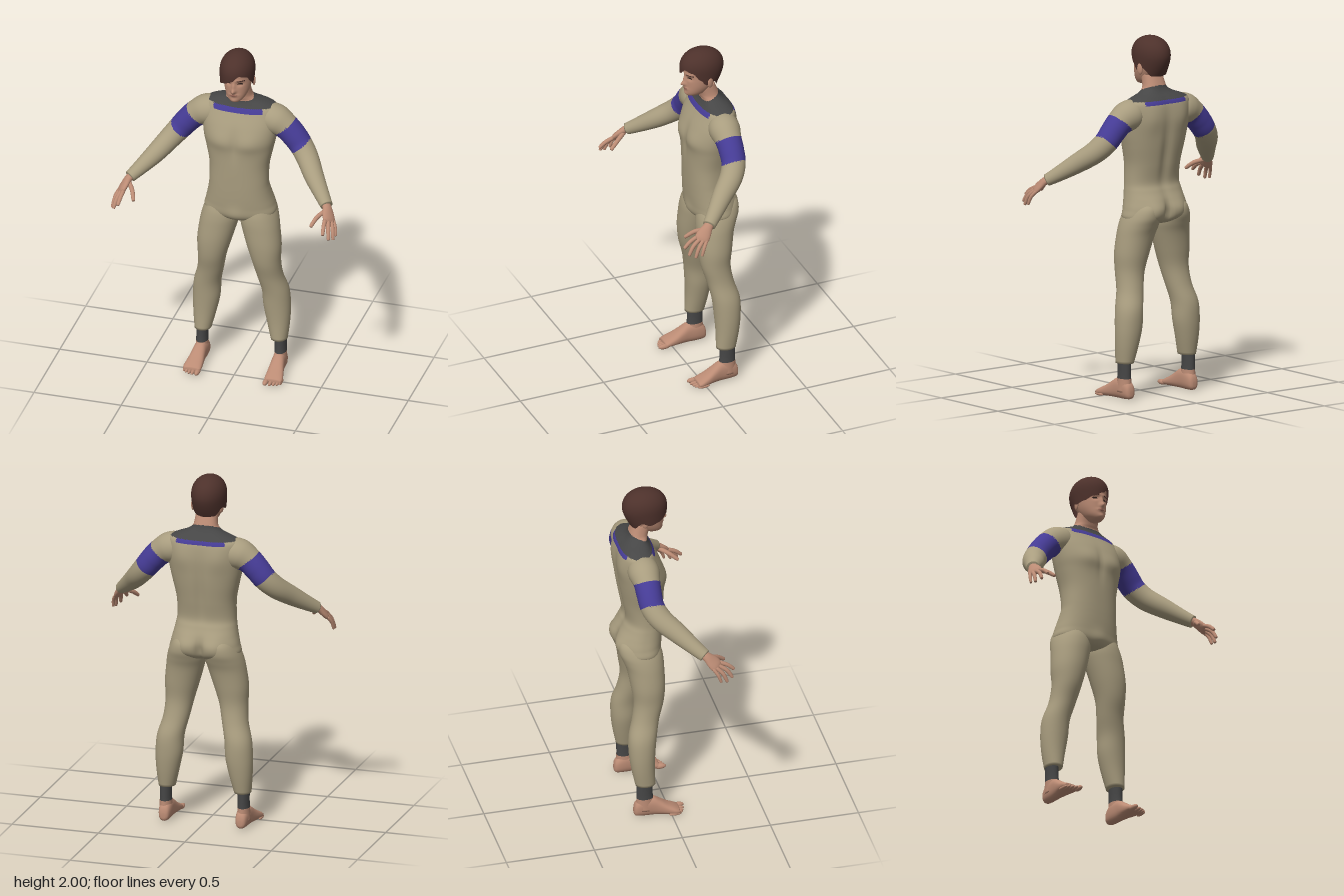
import * as THREE from 'three';

const material = (name, color) => Object.assign(new THREE.MeshStandardMaterial({ color }), { name });
const V = (x, y, z) => new THREE.Vector3(x, y, z);

// Smooth the rows of a section table with a Catmull-Rom spline
function spline(rows, sub) {
  const out = [], at = i => rows[Math.min(Math.max(i, 0), rows.length - 1)];
  for (let i = 0; i < rows.length - 1; i++) {
    for (let k = 0; k < sub; k++) {
      const t = k / sub;
      out.push(at(i).map((b, c) => {
        const a = at(i - 1)[c], d = at(i + 1)[c], e = at(i + 2)[c];
        return b + 0.5 * t * (d - a + t * (2 * a - 5 * b + 4 * d - e + t * (3 * (b - d) + e - a)));
      }));
    }
  }
  out.push(at(rows.length - 1));
  return out;
}

// One superellipse ring around c, spanned by half-axes a and b
function ring(c, a, b, seg, power = 2, sculpt) {
  return Array.from({ length: seg }, (_, j) => {
    const t = j / seg * Math.PI * 2, co = Math.cos(t), si = Math.sin(t);
    const f = v => Math.sign(v) * Math.abs(v) ** (2 / power);
    const p = c.clone().addScaledVector(a, f(co)).addScaledVector(b, f(si));
    if (sculpt) sculpt(p, co);
    return p;
  });
}

// Skin closed rings into a surface; pick(centroid) chooses the material index
function loft(rings, pick = () => 0, colours = 1, caps = true) {
  const n = rings[0].length, pts = rings.flat(), buckets = Array.from({ length: colours }, () => []);
  const tri = (a, b, c) => {
    const m = pts[a].clone().add(pts[b]).add(pts[c]).divideScalar(3);
    buckets[pick(m)].push(a, b, c);
  };
  if (caps) {
    for (const r of [rings[0], rings[rings.length - 1]]) {
      pts.push(r.reduce((s, p) => s.add(p), V(0, 0, 0)).divideScalar(n));
    }
  }
  const last = (rings.length - 1) * n, end = rings.length * n;
  for (let j = 0; j < n; j++) {
    const k = (j + 1) % n;
    for (let i = 0; i < last; i += n) {
      tri(i + j, i + k, i + n + k);
      tri(i + j, i + n + k, i + n + j);
    }
    if (caps) {
      tri(end, k, j);
      tri(end + 1, last + j, last + k);
    }
  }
  const g = new THREE.BufferGeometry().setFromPoints(pts);
  g.setIndex(buckets.flat());
  let start = 0;
  if (colours > 1) buckets.forEach((b, i) => { g.addGroup(start, b.length, i); start += b.length; });
  g.computeVertexNormals();
  return g;
}

// Upright body part from rows [y, xMin, xMax, zBack, zFront], bottom to top
const upright = (rows, sub, seg, power, sculpt) => spline(rows, sub).map(([y, x0, x1, z0, z1]) =>
  ring(V((x0 + x1) / 2, y, (z0 + z1) / 2), V(0, 0, (z1 - z0) / 2), V((x1 - x0) / 2, 0, 0), seg, power, sculpt));

// Limb swept along rows [x, y, z, radiusA, radiusB], with radiusA laid along "side"
function sweep(rows, sub, seg, side) {
  const s = spline(rows, sub), pos = s.map(r => V(r[0], r[1], r[2]));
  return s.map((r, i) => {
    const t = pos[Math.min(i + 1, s.length - 1)].clone().sub(pos[Math.max(i - 1, 0)]).normalize();
    const a = side.clone().addScaledVector(t, -side.dot(t)).normalize();
    const b = t.clone().cross(a);
    return ring(pos[i], a.multiplyScalar(r[3]), b.multiplyScalar(r[4]), seg);
  });
}

function mirrored(geo) {
  const g = geo.clone().scale(-1, 1, 1), ix = g.index.array;
  for (let i = 0; i < ix.length; i += 3) [ix[i], ix[i + 1]] = [ix[i + 1], ix[i]];
  g.computeVertexNormals();
  return g;
}

// Push the front or back along z with symmetric soft bumps [x, y, sizeX, sizeY, amount]
const bumps = (front, back) => (p, w) => {
  const x = Math.abs(p.x), y = p.y;
  for (const [bx, by, sx, sy, amt] of w > 0 ? front : back) {
    p.z += amt * Math.abs(w) * Math.exp(-(((x - bx) / sx) ** 2) - ((y - by) / sy) ** 2);
  }
};

export function createModel() {
  const root = new THREE.Group();
  root.name = 'figure';
  const suit = material('suit tan', 0xa99d7f), blue = material('band blue', 0x463c96);
  const grey = material('undersuit grey', 0x464646), skin = material('skin', 0xbb8b74);
  const hair = material('hair brown', 0x4d312b), lip = material('lip', 0x9c6a5b);
  const dark = material('eye dark', 0x33241f);
  hair.side = THREE.DoubleSide;
  const add = (name, geo, mat) => {
    const m = new THREE.Mesh(geo, mat);
    m.name = name;
    root.add(m);
  };
  const pair = (name, geo, mat) => {
    add('left' + name, geo, mat);
    add('right' + name, mirrored(geo), mat);
  };
  const sym = rows => rows.map(([y, w, b, f]) => [y, -w, w, b, f]);

  // Torso with yoke, collar and neck
  const torso = upright(sym([
    [0.955, 0.03, -0.16, -0.06], [0.97, 0.14, -0.21, -0.03], [1.0, 0.2, -0.245, -0.012],
    [1.05, 0.194, -0.255, -0.005], [1.1, 0.182, -0.242, 0], [1.15, 0.172, -0.222, 0.003],
    [1.2, 0.166, -0.208, 0.005], [1.3, 0.168, -0.225, 0.008], [1.4, 0.188, -0.242, 0.01],
    [1.47, 0.203, -0.25, 0.012], [1.55, 0.213, -0.255, -0.008], [1.62, 0.213, -0.25, -0.04],
    [1.655, 0.2, -0.24, -0.058], [1.675, 0.16, -0.222, -0.072], [1.695, 0.105, -0.2, -0.08],
    [1.715, 0.075, -0.185, -0.075], [1.74, 0.065, -0.175, -0.068], [1.79, 0.06, -0.155, -0.05],
  ]), 7, 96, 2.3, bumps(
    [[0.09, 1.47, 0.07, 0.06, 0.012], [0, 1.45, 0.02, 0.09, -0.008], [0, 1.0, 0.05, 0.05, 0.01]],
    [[0.09, 1.04, 0.06, 0.07, -0.022], [0, 1.02, 0.018, 0.06, 0.03], [0, 1.35, 0.03, 0.22, 0.014],
      [0.11, 1.56, 0.06, 0.08, -0.01]]));
  add('torso', loft(torso, p => {
    if (p.y > 1.695 + 0.4 * Math.max(0, -p.z - 0.08)) return 3;
    if (p.y > 1.66) return 2;
    const bottom = p.z > -0.14 ? 1.633 : 1.638;
    return p.y > bottom && Math.abs(p.x) < 0.14 ? 1 : 0;
  }, 4), [suit, blue, grey, skin]);

  // Legs
  pair('Leg', loft(upright([
    [0.2, 0.172, 0.265, -0.195, -0.083], [0.3, 0.147, 0.275, -0.215, -0.085],
    [0.4, 0.126, 0.278, -0.227, -0.08], [0.5, 0.119, 0.27, -0.226, -0.07],
    [0.6, 0.097, 0.243, -0.2, -0.05], [0.7, 0.075, 0.235, -0.187, -0.022],
    [0.8, 0.045, 0.238, -0.2, -0.01], [0.9, 0.016, 0.227, -0.218, -0.01],
    [0.96, 0.002, 0.216, -0.24, -0.012], [1.01, 0.005, 0.2, -0.258, -0.02],
    [1.06, 0.02, 0.175, -0.255, -0.04], [1.1, 0.05, 0.14, -0.22, -0.08],
  ], 5, 40, 2.1)), suit);

  // Ankles: skin below, grey cuff above
  pair('Ankle', loft(upright([
    [0.04, 0.188, 0.262, -0.195, -0.085], [0.115, 0.192, 0.258, -0.19, -0.097],
    [0.16, 0.193, 0.257, -0.19, -0.1], [0.22, 0.192, 0.258, -0.19, -0.1],
  ], 5, 32), p => p.y > 0.118 ? 1 : 0, 2), [skin, grey]);

  // Feet: rows of [z, centre x, half width, bottom, top]
  pair('Foot', loft(spline([
    [-0.206, 0.222, 0.012, 0.02, 0.05], [-0.195, 0.222, 0.028, 0.004, 0.085],
    [-0.155, 0.223, 0.036, 0, 0.115], [-0.1, 0.225, 0.037, 0, 0.115], [-0.06, 0.227, 0.041, 0, 0.092],
    [-0.02, 0.23, 0.047, 0, 0.066], [0.02, 0.233, 0.051, 0, 0.046], [0.045, 0.232, 0.047, 0.002, 0.032],
  ], 4).map(([z, x, w, b, t]) => ring(V(x, (b + t) / 2, z), V(w, 0, 0), V(0, (t - b) / 2, 0), 32, 2.4))), skin);
  [[0.196, 0.085, 0.015], [0.222, 0.08, 0.011], [0.242, 0.074, 0.01], [0.26, 0.065, 0.01], [0.275, 0.052, 0.009]]
    .forEach(([x, tip, r], i) => {
      const toe = new THREE.SphereGeometry(1, 16, 12).scale(r, r, 0.035).translate(x, r, tip - 0.035);
      pair('Toe' + (i + 1), toe, skin);
    });

  // Arms with a blue band around the upper sleeve
  pair('Arm', loft(sweep([
    [0.13, 1.585, -0.145, 0.06, 0.06], [0.16, 1.585, -0.143, 0.083, 0.083], [0.205, 1.575, -0.14, 0.086, 0.085],
    [0.255, 1.545, -0.138, 0.074, 0.074], [0.3, 1.5, -0.137, 0.07, 0.07], [0.345, 1.445, -0.13, 0.067, 0.066],
    [0.395, 1.388, -0.092, 0.064, 0.061], [0.455, 1.325, -0.015, 0.056, 0.054],
    [0.52, 1.265, 0.06, 0.044, 0.042], [0.565, 1.226, 0.112, 0.036, 0.033],
  ], 8, 40, V(0, 0, 1)), p => {
    const d = p.x * 0.65 - p.y * 0.76;
    return d > -1.01 && d < -0.872 && p.z < -0.03 ? 1 : 0;
  }, 2), [suit, blue]);

  // Hands: palm, four fingers and a thumb
  const across = V(0.04, -0.02, -0.06).normalize();
  pair('Palm', loft(sweep([
    [0.553, 1.236, 0.1, 0.026, 0.022], [0.57, 1.22, 0.122, 0.028, 0.021], [0.583, 1.196, 0.147, 0.038, 0.019],
    [0.595, 1.172, 0.168, 0.04, 0.017], [0.602, 1.16, 0.18, 0.03, 0.01],
  ], 4, 28, across)), skin);
  [
    ['IndexFinger', [0.578, 1.178, 0.192], [0.583, 1.158, 0.235], [0.587, 1.13, 0.268], 0.0115],
    ['MiddleFinger', [0.594, 1.17, 0.18], [0.607, 1.14, 0.225], [0.616, 1.098, 0.252], 0.0115],
    ['RingFinger', [0.607, 1.165, 0.165], [0.625, 1.13, 0.2], [0.633, 1.085, 0.22], 0.011],
    ['LittleFinger', [0.613, 1.163, 0.147], [0.631, 1.13, 0.17], [0.638, 1.09, 0.185], 0.0095],
    ['Thumb', [0.563, 1.205, 0.135], [0.53, 1.185, 0.185], [0.51, 1.152, 0.23], 0.0125],
  ].forEach(([name, a, b, c, r]) => {
    const tip = c.map((v, i) => v + (c[i] - b[i]) * 0.1);
    pair(name, loft(sweep([[...a, r, r], [...b, r, r], [...c, r * 0.8, r * 0.8],
      [...tip, r * 0.3, r * 0.3]], 4, 14, across)), skin);
  });

  // Head with nose, brow, eyes and lips
  const head = upright(sym([
    [1.726, 0.018, -0.06, -0.01], [1.733, 0.034, -0.085, 0.004], [1.755, 0.053, -0.12, 0.011],
    [1.79, 0.068, -0.15, 0.01], [1.83, 0.076, -0.175, 0.01], [1.87, 0.078, -0.185, 0.01],
    [1.91, 0.078, -0.187, 0.012], [1.95, 0.066, -0.17, -0.005], [1.98, 0.035, -0.13, -0.05],
  ]), 9, 110, 2.15, bumps([
    [0, 1.803, 0.013, 0.014, 0.024], [0, 1.83, 0.011, 0.025, 0.013], [0.034, 1.846, 0.018, 0.012, -0.009],
    [0.025, 1.868, 0.03, 0.01, 0.005], [0, 1.777, 0.024, 0.009, 0.008], [0, 1.742, 0.02, 0.012, 0.005],
  ], []));
  add('head', loft(head, p => {
    const x = Math.abs(p.x);
    if (p.z < -0.03) return 0;
    if (x < 0.024 && Math.abs(p.y - 1.777) < 0.007 * (1.2 - x / 0.024)) return 1;
    if (((x - 0.034) / 0.014) ** 2 + ((p.y - 1.847) / 0.005) ** 2 < 1) return 2;
    return Math.abs(x - 0.037) < 0.02 && Math.abs(p.y - 1.867) < 0.004 ? 3 : 0;
  }, 4), [skin, lip, dark, hair]);
  pair('Ear', new THREE.SphereGeometry(1, 16, 12).scale(0.009, 0.032, 0.018).rotateY(0.3)
    .translate(0.083, 1.825, -0.105), skin);

  // Hair cap with a swept fringe: hem height by angle, front at 0 degrees
  const hem = [[-180, 1.78], [-135, 1.785], [-105, 1.83], [-85, 1.815], [-60, 1.825], [-30, 1.848], [0, 1.872],
    [25, 1.905], [50, 1.892], [70, 1.85], [85, 1.815], [105, 1.83], [135, 1.785], [180, 1.78]];
  const hemAt = d => {
    const i = Math.max(1, hem.findIndex(h => h[0] >= d)), [a, ya] = hem[i - 1], [b, yb] = hem[i];
    return ya + (yb - ya) * THREE.MathUtils.smoothstep(d, a, b);
  };
  const cap = Array.from({ length: 25 }, (_, i) => Array.from({ length: 72 }, (_, j) => {
    const d = j * 5 - 180, a = d * Math.PI / 180, low = hemAt(d);
    const y = low + (2 - low) * Math.sin(i / 24 * Math.PI / 2);
    const back = Math.max(0, -Math.cos(a)), up = Math.max(0, (y - 1.89) / 0.11);
    const down = Math.max(0, (1.89 - y) / 0.11);
    const r = Math.sqrt(Math.max(0, 1 - up ** 2.3)) * (1 - (0.06 + 0.3 * back) * down ** 1.5);
    return V(-0.007 + 0.096 * r * Math.sin(a), y, -0.09 + 0.126 * r * Math.cos(a));
  }));
  add('hair', loft(cap, undefined, 1, false), hair);

  return root;
}
